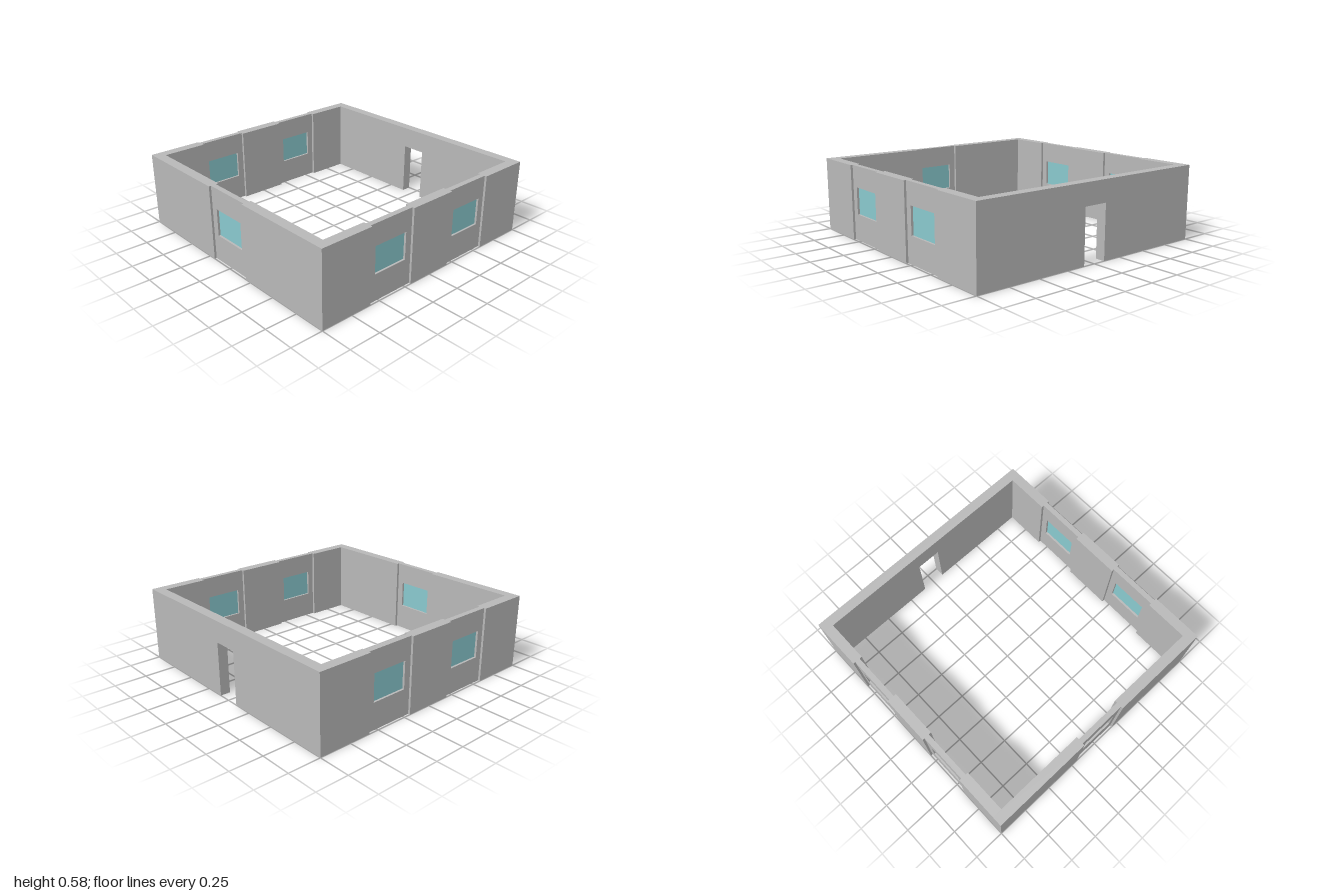
import * as THREE from 'three';

const HEIGHT = 0.58;   // wall height
const INNER = 0.922;   // inner face of the thick walls
const SILL = 0.205, HEAD = 0.415;
const PANEL_IN = 0.942, PANEL_OUT = 0.983;

const plaster = new THREE.MeshStandardMaterial({ color: 0xb8b8b8 });
plaster.name = 'wallGrey';
const glass = new THREE.MeshStandardMaterial({ color: 0x89c9ce });
glass.name = 'glassBlue';

// Closed loop of points for an upright rectangle
const rect = (x0, x1, y0, y1) => [[x0, y0], [x1, y0], [x1, y1], [x0, y1]].map(p => new THREE.Vector2(...p));

// Extrudes an upright outline from depth z0 to z1
function slab(name, outline, z0, z1, hole) {
  const shape = new THREE.Shape(outline);
  if (hole) shape.holes.push(new THREE.Path(hole));
  const geometry = new THREE.ExtrudeGeometry(shape, { depth: z1 - z0, bevelEnabled: false });
  geometry.translate(0, 0, z0);
  const mesh = new THREE.Mesh(geometry, plaster);
  mesh.name = name;
  return mesh;
}

// Thinner recessed panel with an opening and a glass pane
function windowPanel(center) {
  const group = new THREE.Group();
  group.name = 'windowPanel';
  const half = 0.1945, open = 0.143;
  group.add(slab('panel', rect(center - half, center + half, 0, HEIGHT), PANEL_IN, PANEL_OUT,
    rect(center - open, center + open, SILL, HEAD)));
  const pane = new THREE.Mesh(new THREE.BoxGeometry(open * 2, HEAD - SILL, 0.008), glass);
  pane.name = 'windowPane';
  pane.position.set(center, (SILL + HEAD) / 2, (PANEL_IN + PANEL_OUT) / 2);
  group.add(pane);
  return group;
}

// One wall facing +z: thick piers with window panels between them
function windowWall(name, piers, windows) {
  const group = new THREE.Group();
  group.name = name;
  for (const [a, b] of piers) group.add(slab('pier', rect(a, b, 0, HEIGHT), INNER, 1));
  for (const center of windows) group.add(windowPanel(center));
  return group;
}

export function createModel() {
  const model = new THREE.Group();
  model.name = 'walledRoom';

  // Front wall with a single window
  model.add(windowWall('frontWall', [[-1, -0.1945], [0.1945, 1]], [0]));

  // Side walls with two windows each
  for (const side of [-1, 1]) {
    const wall = windowWall(side > 0 ? 'leftWall' : 'rightWall',
      [[-INNER, -0.582], [-0.193, 0.193], [0.582, INNER]], [-0.3875, 0.3875]);
    wall.rotation.y = side * Math.PI / 2;
    model.add(wall);
  }

  // Back wall with a doorway cut from the floor up
  const door = 0.097;
  const outline = [[-1, 0], [-door, 0], [-door, HEAD], [door, HEAD], [door, 0], [1, 0], [1, HEIGHT], [-1, HEIGHT]];
  model.add(slab('backWall', outline.map(p => new THREE.Vector2(...p)), -1, -INNER));

  return model;
}
